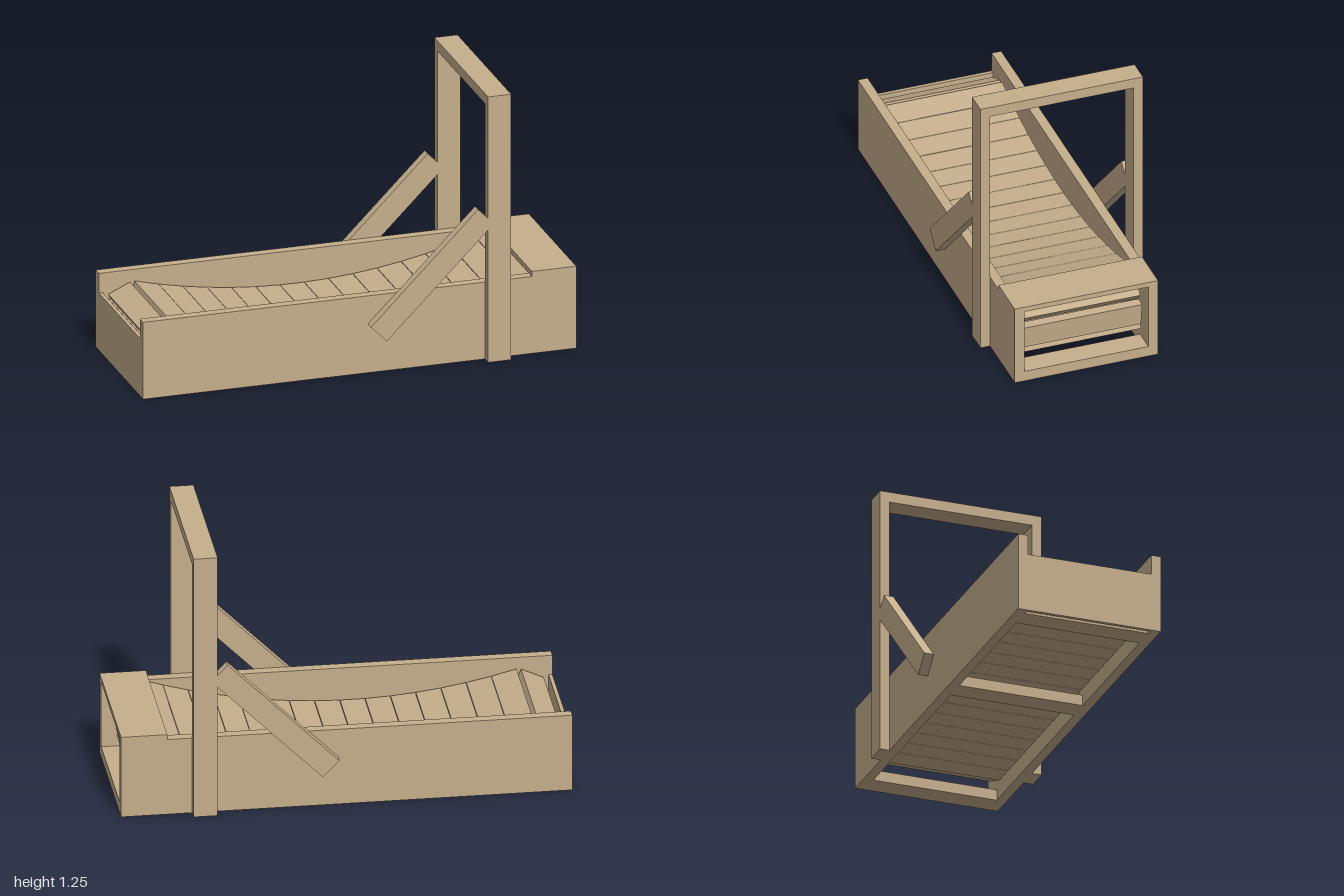
import * as THREE from 'three';

export function createModel() {
  const model = new THREE.Group();
  model.name = 'curvedTreadmill';
  const wood = new THREE.MeshStandardMaterial({ color: 0xc5ae8c });
  wood.name = 'wood';

  // box given by its min and max on each axis
  function board(name, x0, x1, y0, y1, z0, z1, parent = model) {
    const mesh = new THREE.Mesh(new THREE.BoxGeometry(x1 - x0, y1 - y0, z1 - z0), wood);
    mesh.position.set((x0 + x1) / 2, (y0 + y1) / 2, (z0 + z1) / 2);
    mesh.name = name;
    parent.add(mesh);
    return mesh;
  }

  // side panels, uprights and diagonal braces, mirrored in z
  for (const s of [1, -1]) {
    const side = s > 0 ? 'front' : 'back';
    const inner = s > 0 ? 0.29 : -0.335;
    const outer = s > 0 ? 0.335 : -0.38;
    board(side + 'SidePanel', -1, 1, 0, 0.362, inner, inner + 0.045);
    board(side + 'Upright', 0.578, 0.685, 0, 1.202, outer, outer + 0.045);
    const brace = new THREE.Mesh(new THREE.BoxGeometry(0.7, 0.105, 0.044), wood);
    brace.position.set(0.322, 0.44, s * 0.357);
    brace.rotation.z = Math.PI / 4;
    brace.name = side + 'Brace';
    model.add(brace);
  }
  board('handleBar', 0.578, 0.685, 1.202, 1.25, -0.38, 0.38);
  board('topCover', 0.795, 1, 0.362, 0.386, -0.335, 0.335);
  board('endPanel', -1, -0.983, 0, 0.27, -0.29, 0.29);

  // cross members under the belt
  for (const x of [-0.962, -0.16, 0.893]) board('crossMember', x, x + 0.107, 0, 0.05, -0.29, 0.29);

  // slat belt: placed by the centre of each outer face and its tilt
  const belt = new THREE.Group();
  belt.name = 'slatBelt';
  model.add(belt);
  const T = 0.042, PITCH = 0.112;
  function slat(x, y, angle, length = 0.11) {
    const mesh = new THREE.Mesh(new THREE.BoxGeometry(length, T, 0.56), wood);
    mesh.position.set(x + Math.sin(angle) * T / 2, y - Math.cos(angle) * T / 2, 0);
    mesh.rotation.z = angle;
    mesh.name = 'slat';
    belt.add(mesh);
  }

  // dished upper run and flat lower run
  const height = (x) => 0.212 + 0.15 * (x + 0.11) ** 2 - 0.0 + 0.033 * x * (x + 0.11);
  for (let i = 0; i < 15; i++) {
    const x = (i - 7) * PITCH;
    const rise = height(x + PITCH / 2) - height(x - PITCH / 2);
    slat(x, height(x), Math.atan2(rise, PITCH), Math.hypot(PITCH, rise) - 0.002);
    slat(x, 0.07, Math.PI);
  }

  // slats turning round the two ends
  slat(0.883, 0.31, -0.69);
  slat(0.94, 0.185, -Math.PI / 2 - 0.12);
  slat(0.88, 0.088, Math.PI + 0.32);
  slat(-0.91, 0.286, 0.43);
  slat(-0.955, 0.185, Math.PI / 2 + 0.06);
  slat(-0.885, 0.088, Math.PI - 0.32);

  return model;
}
